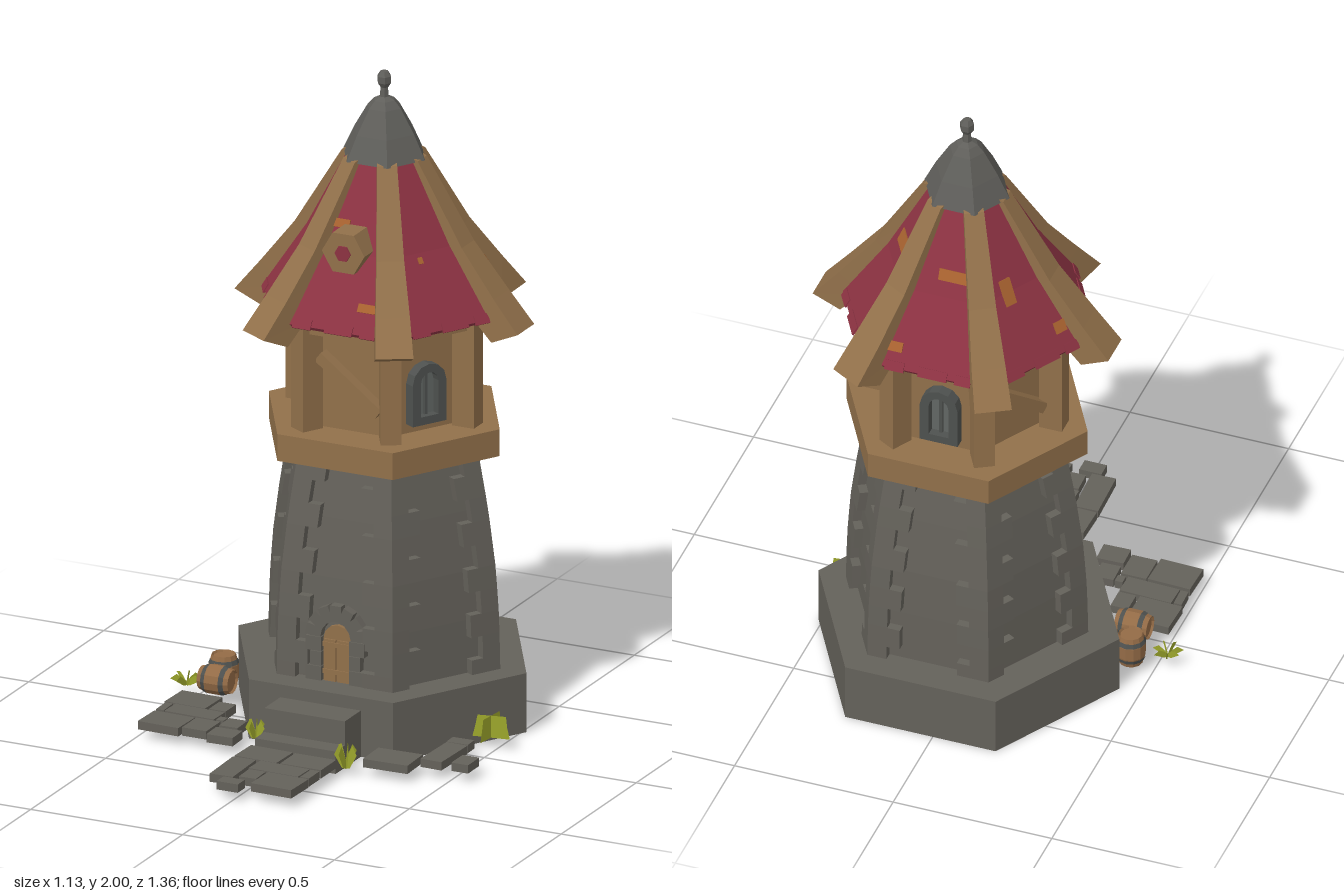
import * as THREE from 'three';

const mat = (name, color, extra = {}) => {
  const m = new THREE.MeshStandardMaterial({ color, ...extra });
  m.name = name;
  return m;
};
const stone = mat('stone', 0x64615a, { side: THREE.DoubleSide });
const slate = mat('capSlate', 0x5f5e5a, { side: THREE.DoubleSide });
const wood = mat('wood', 0x91704a);
const red = mat('redTiles', 0x8c3242);
const orange = mat('wornTiles', 0xa8622f);
const iron = mat('iron', 0x4e514f);
const glass = mat('glass', 0x616664);
const barrelWood = mat('barrelWood', 0x936b46);
const leaf = mat('leaf', 0x9ca62c, { side: THREE.DoubleSide });

const C = Math.cos(Math.PI / 6);

// Flat-shaded mesh added to a parent
function add(parent, name, geo, material, x = 0, y = 0, z = 0) {
  const g = geo.index ? geo.toNonIndexed() : geo;
  g.computeVertexNormals();
  const m = new THREE.Mesh(g, material);
  m.name = name;
  m.position.set(x, y, z);
  parent.add(m);
  return m;
}
const box = (w, h, d) => new THREE.BoxGeometry(w, h, d);

// Box without its underside
function openBox(w, h, d) {
  const g = box(w, h, d);
  g.setIndex([...g.index.array].filter((_, i) => i < 18 || i > 23));
  return g;
}

// Six-sided revolved shape with corners on +-x
const hexLathe = (pts) =>
  new THREE.LatheGeometry(pts.map((p) => new THREE.Vector2(p[0], p[1])), 6).rotateY(Math.PI / 6);

// Closed solid through equal-length cross-section loops
function loft(loops) {
  const n = loops[0].length, idx = [];
  for (let s = 0; s < loops.length - 1; s++)
    for (let i = 0; i < n; i++) {
      const a = s * n + i, b = s * n + ((i + 1) % n);
      idx.push(a, b, b + n, a, b + n, a + n);
    }
  const e = (loops.length - 1) * n;
  for (let i = 1; i < n - 1; i++) idx.push(0, i + 1, i, e, e + i, e + i + 1);
  const g = new THREE.BufferGeometry();
  g.setAttribute('position', new THREE.Float32BufferAttribute(loops.flat(2), 3));
  g.setIndex(idx);
  return g;
}

// Linear interpolation in a [y, r] profile
function radiusAt(profile, y) {
  for (let i = 1; i < profile.length; i++) {
    const [y0, r0] = profile[i - 1], [y1, r1] = profile[i];
    if (y <= y1 || i === profile.length - 1) return r0 + ((r1 - r0) * (y - y0)) / (y1 - y0);
  }
}
const towerProfile = [[0.09, 0.384], [0.19, 0.382], [0.35, 0.378], [0.5, 0.367], [0.68, 0.342], [0.86, 0.308]];
const roofProfile = [[1.295, 0.402], [1.5, 0.258], [1.75, 0.12]];

// Arched outline: width w, straight to height s, round above
function arch(w, s) {
  const p = new THREE.Shape();
  p.moveTo(-w / 2, 0);
  p.lineTo(w / 2, 0);
  p.lineTo(w / 2, s);
  p.absarc(0, s, w / 2, 0, Math.PI, false);
  p.closePath();
  return p;
}
const extrude = (shape, depth) =>
  new THREE.ExtrudeGeometry(shape, { depth, bevelEnabled: false, curveSegments: 3 });

function sector(parent, name, k) {
  const g = new THREE.Group();
  g.name = name;
  g.rotation.y = (k * Math.PI) / 3;
  parent.add(g);
  return g;
}

// One corner block wrapping the tower edge
function quoin(y0, y1, wa, wb) {
  const t = 0.032;
  return loft([y0, y1].map((y) => {
    const r = radiusAt(towerProfile, y), p = (w, s, d) => [r - w / 2 - C * d, y, s * (C * w - d / 2)];
    return [[r, y, 0], p(wb, -1, 0), p(wb, -1, t), [r - t / C, y, 0], p(wa, 1, t), p(wa, 1, 0)];
  }));
}

function buildTower(root) {
  const tower = new THREE.Group();
  tower.name = 'tower';
  tower.position.set(0.045, 0, -0.255);
  root.add(tower);

  add(tower, 'foundation', hexLathe([[0.474, 0], [0.474, 0.185], [0.35, 0.185]]), stone, -0.006);
  add(tower, 'stoneWall', hexLathe(towerProfile.map(([y, r]) => [r - 0.03, y])), stone);
  add(tower, 'timberBand', hexLathe([[0, 0.852], [0.38, 0.852], [0.38, 0.936], [0, 0.936]]), wood);
  add(tower, 'upperWall', hexLathe([[0.238, 0.93], [0.238, 1.31]]), wood);
  add(tower, 'topPlate', hexLathe([[0.23, 1.24], [0.305, 1.24], [0.305, 1.3]]), wood);
  add(tower, 'soffit', hexLathe([[0.29, 1.3], [0.398, 1.29]]), wood);
  add(tower, 'roof', hexLathe([[0.394, 1.285], ...roofProfile.map(([y, r]) => [r, y])]), red);
  add(tower, 'roofCap', hexLathe([[0.1, 1.74], [0.134, 1.74], [0.098, 1.815], [0.054, 1.89], [0.034, 1.912],
    [0.015, 1.922], [0.012, 1.95], [0.022, 1.965], [0.022, 1.985], [0.012, 2], [0, 2]]), slate);

  const rows = 11, h = 0.77 / rows;
  const beam = [[0.08, 1.765, 0.06, 1.7, 0.028], [0.125, 1.745, 0.075, 1.67, 0.03], [0.275, 1.5, 0.21, 1.44, 0.041],
    [0.385, 1.36, 0.31, 1.295, 0.051], [0.466, 1.262, 0.38, 1.225, 0.056]];
  for (let k = 0; k < 6; k++) {
    // Corners: quoins, posts and roof beams
    const corner = sector(tower, 'corner', k);
    for (let i = 0; i < rows; i++) {
      const odd = i % 2 === 1;
      add(corner, 'cornerStone', quoin(0.09 + i * h, 0.09 + (i + 1) * h, odd ? 0.1 : 0.06, odd ? 0.06 : 0.1), stone);
    }
    add(corner, 'post', box(0.072, 0.38, 0.062), wood, 0.274, 1.115, 0);
    add(corner, 'roofBeam', loft(beam.map(([tx, ty, bx, by, w]) =>
      [[bx, by, w], [bx, by, -w], [tx, ty, -w], [tx, ty, w]])), wood);

    // Faces: windows alternate with diagonal braces
    const face = sector(tower, 'face', k), wall = 0.238 * C;
    if (k % 2) {
      const frame = arch(0.12, 0.128);
      const hole = arch(0.062, 0.105);
      frame.holes.push(new THREE.Path(hole.getPoints(3).map((p) => p.add(new THREE.Vector2(0, 0.025)))));
      add(face, 'windowFrame', extrude(frame, 0.035), iron, 0, 0.965, wall);
      add(face, 'windowPane', extrude(hole, 0.008), glass, 0, 0.99, wall);
      add(face, 'windowBar', box(0.01, 0.135, 0.014), iron, 0, 1.055, wall + 0.01);
    } else {
      const b = add(face, 'brace', box(0.25, 0.034, 0.04), wood, 0, 1.09, wall + 0.018);
      b.rotation.z = k === 2 ? 0.65 : -0.65;
    }

    // Uneven lower tiles and worn patches
    const onRoof = (name, m, u, y, w, hh, d) => {
      const t = y < 1.5 ? Math.atan2(0.144 * C, 0.205) : Math.atan2(0.138 * C, 0.25);
      add(face, name, box(w, hh, d), m, u, y, radiusAt(roofProfile, y) * C).rotation.x = -t;
    };
    for (const [u, w] of [[-0.1, 0.06], [0.02, 0.09], [0.115, 0.05]]) onRoof('eaveTile', red, u, 1.3, w, 0.03, 0.006);
    const patches = [
      [[0.1, 1.365, 0.07, 0.026], [-0.045, 1.575, 0.05, 0.026]],
      [[-0.03, 1.48, 0.015, 0.02]],
      [[0.0, 1.57, 0.07, 0.045], [0.1, 1.365, 0.05, 0.026]],
      [[0.03, 1.56, 0.09, 0.035], [-0.11, 1.35, 0.05, 0.03]],
      [[-0.03, 1.5, 0.04, 0.085], [0.1, 1.36, 0.04, 0.035]],
      [],
    ][k];
    for (const [u, y, w, hh] of patches) onRoof('wornPatch', orange, u, y, w, hh, 0.008);
  }

  // Round roof opening on the front
  const hexTube = (r, d) => new THREE.CylinderGeometry(r, r, d, 6).rotateY(Math.PI / 6).rotateX(Math.PI / 2);
  add(tower, 'dormer', hexTube(0.07, 0.15), wood, 0, 1.515, 0.2);
  add(tower, 'dormerOpening', hexTube(0.026, 0.008), red, 0, 1.515, 0.276);

  // Door with stone surround
  const dz = 0.295;
  add(tower, 'door', extrude(arch(0.092, 0.13), 0.016), wood, 0, 0.185, dz + 0.002);
  for (const x of [-0.023, 0.023]) add(tower, 'doorPlank', box(0.04, 0.13, 0.008), wood, x, 0.25, dz + 0.02);
  for (const y of [0.215, 0.3]) add(tower, 'doorStrap', box(0.09, 0.014, 0.01), wood, 0, y, dz + 0.022);
  for (const s of [-1, 1])
    for (let i = 0; i < 3; i++) {
      const w = i % 2 ? 0.036 : 0.05;
      add(tower, 'doorJamb', box(w, 0.044, 0.05), stone, s * (0.046 + w / 2), 0.208 + i * 0.046, dz + 0.01);
    }
  for (let i = 0; i < 7; i++) {
    const a = (Math.PI * (i + 0.5)) / 7;
    const v = add(tower, 'archStone', box(0.05, 0.035, 0.05), stone, Math.cos(a) * 0.074, 0.32 + Math.sin(a) * 0.08, dz + 0.006);
    v.rotation.z = a;
  }
}

function buildGround(root) {
  // Steps
  add(root, 'upperStep', openBox(0.265, 0.145, 0.13), stone, 0.0375, 0.0725, 0.197);
  add(root, 'lowerStep', openBox(0.265, 0.07, 0.1), stone, 0.0375, 0.035, 0.273);

  // Paving slabs: x0, x1, z0, z1
  const slabs = [
    [[-0.495, -0.36, 0.005, 0.115], [-0.35, -0.295, 0.045, 0.115], [-0.49, -0.465, 0.12, 0.185],
      [-0.46, -0.295, 0.12, 0.19], [-0.29, -0.265, 0.16, 0.19], [-0.26, -0.2, 0.16, 0.23],
      [-0.49, -0.355, 0.2, 0.305], [-0.35, -0.27, 0.2, 0.295], [-0.26, -0.175, 0.245, 0.315]],
    [[-0.1, 0.04, 0.345, 0.45], [0.05, 0.185, 0.35, 0.45], [-0.1, -0.025, 0.455, 0.62],
      [-0.015, 0.15, 0.455, 0.53], [0.155, 0.185, 0.46, 0.53], [-0.01, 0.045, 0.535, 0.605],
      [0.05, 0.185, 0.535, 0.645], [-0.05, 0.02, 0.625, 0.672]],
    [[0.405, 0.475, 0.015, 0.06], [0.405, 0.475, 0.065, 0.23], [0.5, 0.555, 0.145, 0.22], [0.25, 0.395, 0.195, 0.305]],
  ];
  slabs.flat().forEach(([x0, x1, z0, z1], i) => {
    const s = add(root, 'pavingSlab', openBox(x1 - x0, 0.026, z1 - z0), stone, (x0 + x1) / 2, 0.042, (z0 + z1) / 2);
    s.rotation.y = ((i % 3) - 1) * 0.03;
  });

  // Barrels
  const barrel = (name, x, y, z, tilt) => {
    const g = new THREE.Group();
    g.name = name;
    g.position.set(x, y, z);
    g.rotation.z = tilt;
    root.add(g);
    const pts = [[0, -0.044], [0.032, -0.044], [0.036, -0.051], [0.045, -0.02], [0.045, 0.02], [0.036, 0.051], [0.032, 0.044], [0, 0.044]];
    add(g, 'staves', new THREE.LatheGeometry(pts.map((p) => new THREE.Vector2(...p)), 12), barrelWood);
    for (const s of [-1, 1]) add(g, 'hoop', new THREE.CylinderGeometry(s > 0 ? 0.041 : 0.046, s > 0 ? 0.046 : 0.041, 0.014, 12, 1, true), iron, 0, s * 0.03, 0);
  };
  barrel('standingBarrel', -0.432, 0.08, -0.15, 0);
  barrel('lyingBarrel', -0.405, 0.085, -0.052, Math.PI / 2);

  // Grass tufts: fans of pointed blades
  const tuft = (x, y, z, r, h) => {
    const g = new THREE.Group();
    g.name = 'grassTuft';
    g.position.set(x, y, z);
    root.add(g);
    for (let i = 0; i < 7; i++) {
      const b = new THREE.Shape([[-0.01, 0], [0.012, 0], [r, h * (0.6 + 0.1 * (i % 4))], [r * 0.6, h], [r * 0.3, h * 0.7]]
        .map((p) => new THREE.Vector2(...p)));
      add(g, 'blade', new THREE.ShapeGeometry(b), leaf).rotation.y = i * 0.9;
    }
  };
  tuft(-0.53, 0.033, -0.1, 0.048, 0.034);
  tuft(-0.145, 0.03, 0.22, 0.03, 0.056);
  tuft(0.205, 0.025, 0.325, 0.035, 0.072);

  // Leafy bush beside the foundation: crossed leaf fans
  const bush = new THREE.Shape([[-0.058, 0], [0.058, 0], [0.05, 0.035], [0.046, 0.07], [-0.042, 0.068], [-0.05, 0.03]].map((p) => new THREE.Vector2(...p)));
  for (const a of [0.15, 1.45])
    add(root, 'bush', new THREE.ShapeGeometry(bush), leaf, 0.483, 0.034, -0.08).rotation.y = a;
}

export function createModel() {
  const root = new THREE.Group();
  root.name = 'watchtower';
  buildTower(root);
  buildGround(root);
  return root;
}
